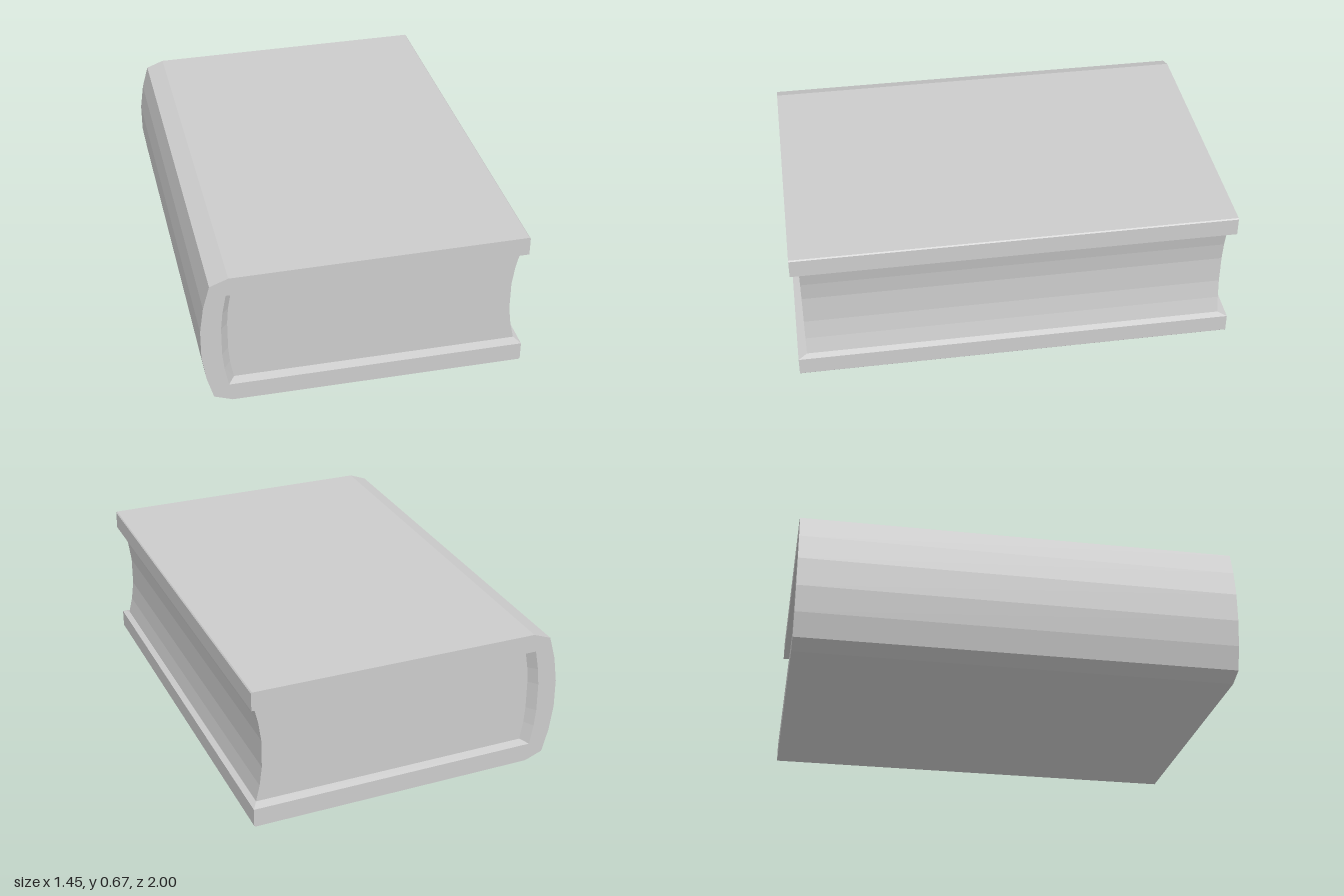
import * as THREE from 'three';

const MID = 0.333; // the book is mirrored above and below this height

// Takes upper-half points, running from fore edge to spine, and adds the mirrored lower half
const mirrored = (pts) => [...pts, ...pts.map(([x, y]) => [x, 2 * MID - y]).reverse()];

// Extrudes an [x, y] outline, centred on z = 0
function slab(points, depth, material) {
  const shape = new THREE.Shape(points.map(([x, y]) => new THREE.Vector2(x, y)));
  const geometry = new THREE.ExtrudeGeometry(shape, { depth, bevelEnabled: false });
  geometry.translate(0, 0, -depth / 2);
  return new THREE.Mesh(geometry, material);
}

export function createModel() {
  const book = new THREE.Group();
  book.name = 'book';
  const material = new THREE.MeshStandardMaterial({ color: 0xcccccc, flatShading: true });
  const rimMaterial = new THREE.MeshStandardMaterial({
    color: 0xcccccc, flatShading: true, side: THREE.DoubleSide,
  });

  // Outer case outline, its inner lip, and the page outline the lip slopes down to
  const outer = mirrored([[0.725, 0.661], [0.72, 0.666], [-0.6, 0.659], [-0.682, 0.628], [-0.712, 0.52], [-0.729, 0.4]]);
  const lip = mirrored([[0.725, 0.578], [-0.614, 0.573], [-0.631, 0.48], [-0.639, 0.4]]);
  const inner = mirrored([[0.7, 0.566], [-0.585, 0.562], [-0.6, 0.475], [-0.606, 0.4]]);
  const foreEdge = mirrored([[0.7, 0.566], [0.682, 0.49], [0.67, 0.4]]);

  // Covers and spine as one C-shaped case
  const cover = slab([...outer, ...[...lip].reverse()], 2, material);
  cover.name = 'coverAndSpine';
  book.add(cover);

  // Page block with hollow fore edge, set back from the cover ends
  const pages = slab([...inner, ...foreEdge.slice(1, -1).reverse()], 1.92, material);
  pages.name = 'pages';
  book.add(pages);

  // Sloping lining between the case edge and the pages
  const positions = [];
  const quad = (a, b, c, d) => positions.push(...a, ...b, ...c, ...a, ...c, ...d);
  for (const side of [1, -1]) {
    for (let i = 0; i < lip.length - 1; i++) {
      quad([...lip[i], side], [...lip[i + 1], side],
        [...inner[i + 1], side * 0.96], [...inner[i], side * 0.96]);
    }
  }
  for (const i of [0, lip.length - 1]) {
    quad([...lip[i], 1], [...lip[i], -1], [...inner[i], -0.96], [...inner[i], 0.96]);
  }
  const geometry = new THREE.BufferGeometry();
  geometry.setAttribute('position', new THREE.Float32BufferAttribute(positions, 3));
  geometry.computeVertexNormals();
  const lining = new THREE.Mesh(geometry, rimMaterial);
  lining.name = 'coverLining';
  book.add(lining);

  return book;
}
